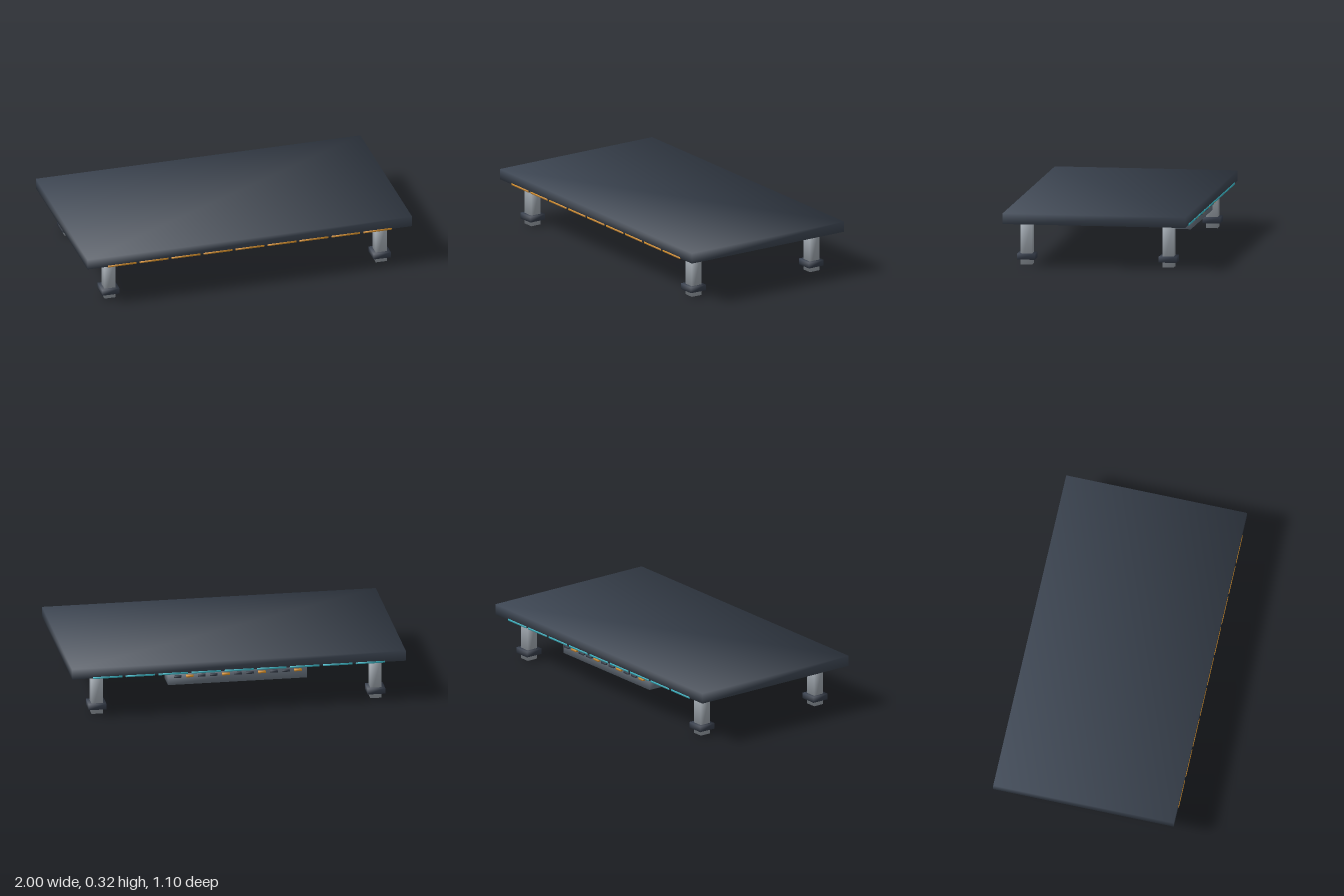
import * as THREE from 'three';

const material = (name, color) => {
  const m = new THREE.MeshStandardMaterial({ color });
  m.name = name;
  return m;
};

export function createModel() {
  const slabGrey = material('slab slate', 0x3f4855);
  const steel = material('leg steel', 0xa3abb3);
  const collarGrey = material('collar slate', 0x39414f);
  const housingGrey = material('housing grey', 0x717c89);
  const amber = material('amber light', 0xe59a2e);
  const cyan = material('cyan light', 0x3fc0d0);

  const model = new THREE.Group();
  model.name = 'platform';

  // Box given by its bounds, with normals shared softly at the corners
  function softBox(name, mat, [x0, x1], [y0, y1], [z0, z1], parent = model) {
    const geo = new THREE.BoxGeometry(x1 - x0, y1 - y0, z1 - z0);
    const pos = geo.attributes.position, nor = geo.attributes.normal;
    const s = 1 / Math.sqrt(3);
    for (let i = 0; i < pos.count; i++) {
      nor.setXYZ(i, Math.sign(pos.getX(i)) * s, Math.sign(pos.getY(i)) * s, Math.sign(pos.getZ(i)) * s);
    }
    const mesh = new THREE.Mesh(geo, mat);
    mesh.name = name;
    mesh.position.set((x0 + x1) / 2, (y0 + y1) / 2, (z0 + z1) / 2);
    parent.add(mesh);
    return mesh;
  }
  const around = (c, half) => [c - half, c + half];

  // Deck
  softBox('deck', slabGrey, [-1, 1], [0.257, 0.32], [-0.547, 0.547]);

  // Four legs with collars near the floor
  for (const sx of [-1, 1]) {
    for (const sz of [-1, 1]) {
      const leg = new THREE.Group();
      leg.name = 'leg';
      const x = sx * 0.836, z = sz * 0.424;
      softBox('legPost', steel, around(x, 0.034), [0, 0.257], around(z, 0.034), leg);
      softBox('legCollar', collarGrey, around(x, 0.053), [0.031, 0.066], around(z, 0.053), leg);
      model.add(leg);
    }
  }

  // Light strips along the lower edges: amber in front, cyan behind
  for (let i = 0; i < 9; i++) {
    const x = (i - 4) * 0.197;
    softBox('frontLightStrip', amber, around(x, 0.088), [0.253, 0.264], [0.54, 0.55]);
    softBox('backLightStrip', cyan, around(x, 0.088), [0.253, 0.264], [-0.55, -0.54]);
  }

  // Control housing under the deck
  softBox('housing', housingGrey, [-0.416, 0.416], [0.166, 0.252], [-0.49, -0.353]);

  // Row of indicators behind the housing, every third one lit
  for (let i = 0; i < 11; i++) {
    softBox('indicator', i % 3 === 0 ? amber : collarGrey,
      around((i - 5) * 0.072, 0.022), [0.217, 0.229], [-0.514, -0.498]);
  }

  return model;
}
